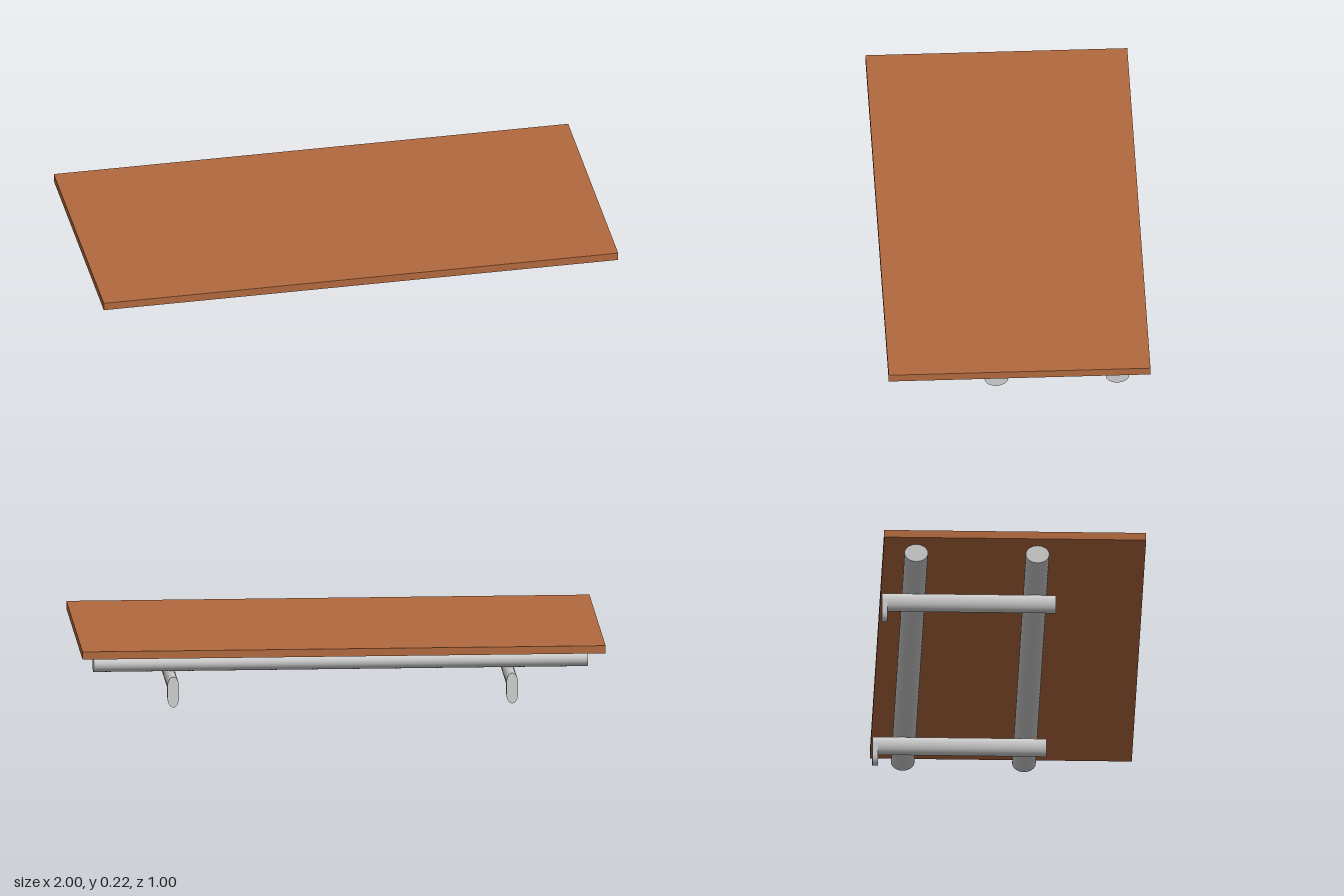
import * as THREE from 'three';

export function createModel() {
  const model = new THREE.Group();
  const wood = new THREE.MeshStandardMaterial({ color: 0xb0683e });
  const grey = new THREE.MeshStandardMaterial({ color: 0xcccccc });

  function add(name, geometry, material, x, y, z) {
    const mesh = new THREE.Mesh(geometry, material);
    mesh.name = name;
    mesh.position.set(x, y, z);
    model.add(mesh);
  }

  // Flat board
  add('boardTop', new THREE.BoxGeometry(2, 0.03, 1), wood, 0, 0.205, 0);

  // Long oval rails under the board
  for (const z of [0.087, -0.376]) {
    const rail = new THREE.CylinderGeometry(1, 1, 1.89, 32);
    rail.rotateZ(Math.PI / 2).scale(1, 0.036, 0.045);
    add('longRail', rail, grey, 0.007, 0.154, z);
  }

  // Upright end plate with rounded oval ends
  const rx = 0.022, ry = 0.0365;
  const plate = new THREE.Shape();
  plate.absellipse(0, 0.118 - ry, rx, ry, 0, Math.PI, false, 0);
  plate.absellipse(0, ry, rx, ry, Math.PI, Math.PI * 2, false, 0);
  plate.closePath();

  for (const x of [-0.643, 0.653]) {
    // Oval crossbar running front to back
    const bar = new THREE.CylinderGeometry(1, 1, 0.645, 32);
    bar.rotateX(Math.PI / 2).scale(rx, ry, 1);
    add('crossBar', bar, grey, x, 0.0815, -0.1575);

    const foot = new THREE.ExtrudeGeometry(plate, { depth: 0.022, bevelEnabled: false, curveSegments: 16 });
    add('rearFoot', foot, grey, x, 0, -0.5);
  }

  return model;
}
